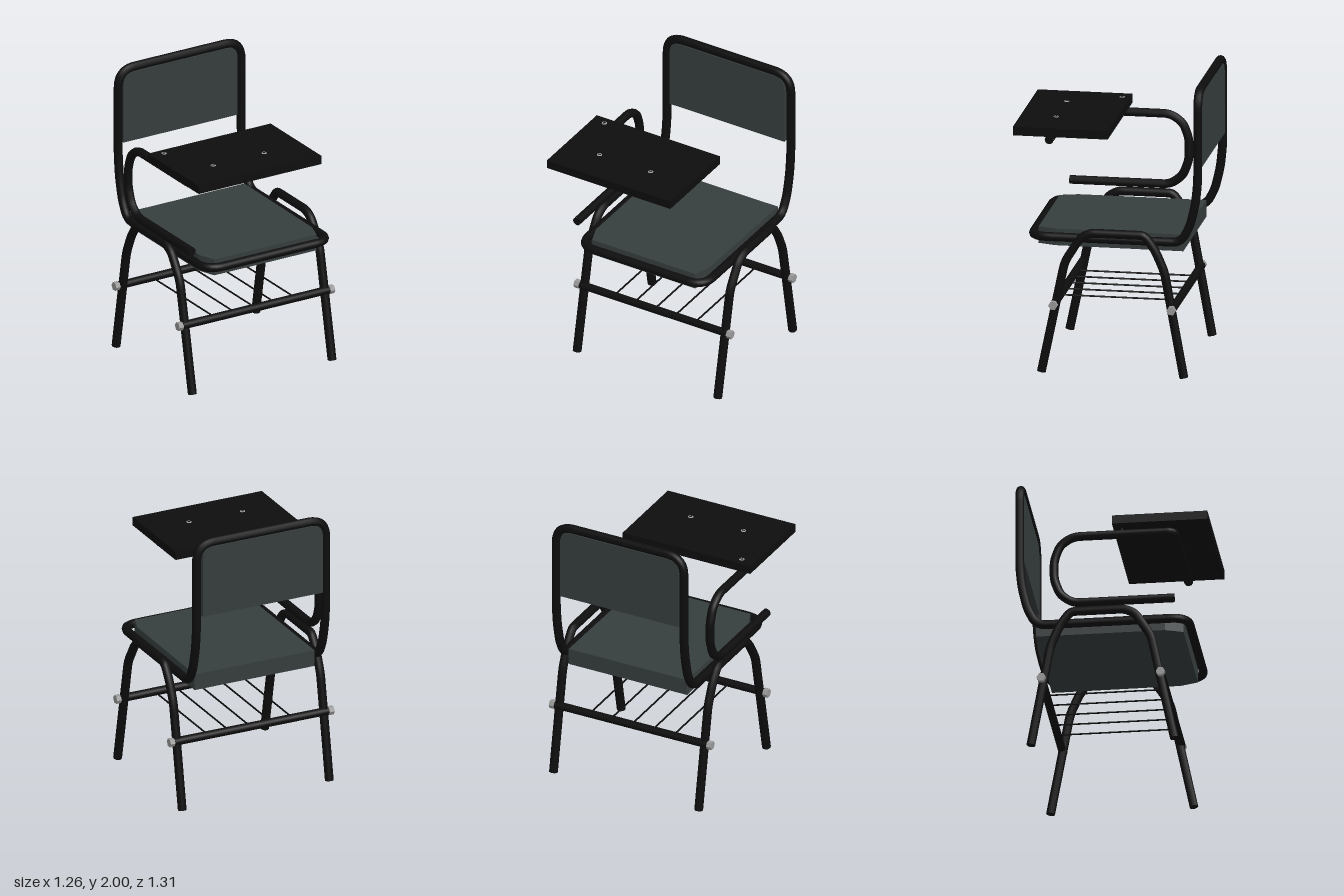
import * as THREE from 'three';

const black = new THREE.MeshStandardMaterial({ name: 'blackPaint', color: 0x0d0d0d });
const slate = new THREE.MeshStandardMaterial({ name: 'slatePlastic', color: 0x363d3d });
const steel = new THREE.MeshStandardMaterial({ name: 'greySteel', color: 0x999999 });
const R = 0.03;

function add(parent, name, geometry, material, x = 0, y = 0, z = 0) {
  const mesh = new THREE.Mesh(geometry, material);
  mesh.name = name;
  mesh.position.set(x, y, z);
  parent.add(mesh);
  return mesh;
}

// Bent tube through corner points [x, y, z, bend length], with flat end caps
function bentTube(parent, name, corners, closed = false, segments = 110) {
  const pts = corners.map(c => new THREE.Vector3(c[0], c[1], c[2]));
  const path = new THREE.CurvePath();
  let from = pts[0];
  for (let i = 1; i < pts.length - 1; i++) {
    const bend = corners[i][3];
    const toward = j => pts[j].clone().sub(pts[i]).setLength(bend).add(pts[i]);
    const a = toward(i - 1), b = toward(i + 1);
    path.add(new THREE.LineCurve3(from, a));
    path.add(new THREE.QuadraticBezierCurve3(a, pts[i], b));
    from = b;
  }
  path.add(new THREE.LineCurve3(from, pts[pts.length - 1]));
  const group = new THREE.Group();
  group.name = name;
  parent.add(group);
  add(group, name + 'Tube', new THREE.TubeGeometry(path, segments, R, 10, closed), black);
  if (closed) return;
  for (const t of [0, 1]) {
    const dir = path.getTangentAt(t).multiplyScalar(t ? 1 : -1);
    const cap = add(group, name + 'Cap', new THREE.CircleGeometry(R, 10), black);
    cap.position.copy(path.getPointAt(t));
    cap.quaternion.setFromUnitVectors(new THREE.Vector3(0, 0, 1), dir);
  }
}

export function createModel() {
  const chair = new THREE.Group();
  chair.name = 'tabletArmChair';
  const cx = 0.0165, left = 0.5, right = -0.467;

  // One closed loop carries both the seat and the backrest
  const side = [
    [0.925, 0.508, 0.12], [0.925, -0.485, 0.03], [0.96, -0.53, 0.025], [1.05, -0.575, 0.04],
    [1.2, -0.61, 0.05], [1.35, -0.625, 0.05], [1.968, -0.625, 0.13],
  ];
  bentTube(chair, 'seatAndBackFrame', [
    [cx, 0.925, 0.508],
    ...side.map(([y, z, b]) => [left, y, z, b]),
    ...[...side].reverse().map(([y, z, b]) => [right, y, z, b]),
    [cx, 0.925, 0.508],
  ], true, 240);

  // Leg arches
  for (const x of [-0.535, 0.565]) {
    bentTube(chair, x > 0 ? 'leftLegs' : 'rightLegs', [
      [x, 0.008, 0.425], [x, 0.775, 0.267, 0.05], [x, 0.945, 0.16, 0.035], [x, 0.98, 0.09, 0.03],
      [x, 0.98, -0.275, 0.03], [x, 0.885, -0.345, 0.05], [x, 0.735, -0.41, 0.05], [x, 0.008, -0.542],
    ]);
  }

  // Crossbars with a nut at each end
  for (const z of [0.338, -0.465]) {
    const bar = new THREE.CylinderGeometry(0.028, 0.028, 1.15, 10).rotateZ(Math.PI / 2);
    add(chair, 'crossbar', bar, black, 0.015, 0.48, z);
    for (const x of [-0.582, 0.609]) {
      const nut = new THREE.CylinderGeometry(0.031, 0.031, 0.035, 6).toNonIndexed();
      nut.rotateZ(Math.PI / 2).computeVertexNormals();
      add(chair, 'nut', nut, steel, x, 0.48, z);
    }
  }

  // Book rack wires
  for (let i = 0; i < 5; i++) {
    const wire = new THREE.CylinderGeometry(0.006, 0.006, 0.8, 6).rotateX(Math.PI / 2);
    add(chair, 'rackWire', wire, black, -0.3 + i * 0.158, 0.48, -0.063);
  }

  // Seat pad with cut front corners
  const seat = new THREE.Shape([
    [-0.435, 0.52], [-0.435, -0.35], [-0.39, -0.47], [0.415, -0.47], [0.455, -0.35], [0.462, 0.52],
  ].map(p => new THREE.Vector2(...p)));
  const seatGeo = new THREE.ExtrudeGeometry(seat, { depth: 0.115, bevelEnabled: false });
  add(chair, 'seat', seatGeo.rotateX(-Math.PI / 2), slate, 0, 0.855, 0);

  // Backrest with rounded top corners
  const back = new THREE.Shape();
  back.moveTo(-0.437, 1.44);
  back.lineTo(0.462, 1.44);
  back.lineTo(0.462, 1.85);
  back.quadraticCurveTo(0.462, 1.94, 0.39, 1.94);
  back.lineTo(-0.365, 1.94);
  back.quadraticCurveTo(-0.437, 1.94, -0.437, 1.85);
  const backGeo = new THREE.ExtrudeGeometry(back, { depth: 0.04, bevelEnabled: false, curveSegments: 4 });
  add(chair, 'backrest', backGeo, slate, 0, 0, -0.645);

  // Arm bends up from the leg arch and turns under the tablet
  const ax = -0.537;
  bentTube(chair, 'tabletArm', [
    [ax, 1.042, 0.425], [ax, 1.042, -0.26, 0.05], [ax, 1.11, -0.345, 0.04], [ax, 1.22, -0.385, 0.04],
    [ax, 1.36, -0.385, 0.04], [ax, 1.47, -0.345, 0.04], [ax, 1.53, -0.26, 0.05],
    [ax, 1.53, 0.425, 0.05], [0.268, 1.53, 0.425],
  ], false, 160);

  // Writing tablet, its screws and spacers
  add(chair, 'writingTablet', new THREE.BoxGeometry(0.966, 0.06, 0.644), black, -0.147, 1.6, 0.337);
  for (const [x, z] of [[-0.537, 0.07], [-0.365, 0.417], [0.035, 0.417]]) {
    add(chair, 'spacer', new THREE.CylinderGeometry(0.01, 0.01, 0.04, 6), black, x, 1.555, z);
    add(chair, 'screwHead', new THREE.CylinderGeometry(0.017, 0.02, 0.004, 8), steel, x, 1.631, z);
    add(chair, 'screwSlot', new THREE.BoxGeometry(0.022, 0.002, 0.006), black, x, 1.633, z);
    add(chair, 'screwSlot', new THREE.BoxGeometry(0.006, 0.002, 0.022), black, x, 1.6331, z);
  }
  return chair;
}
